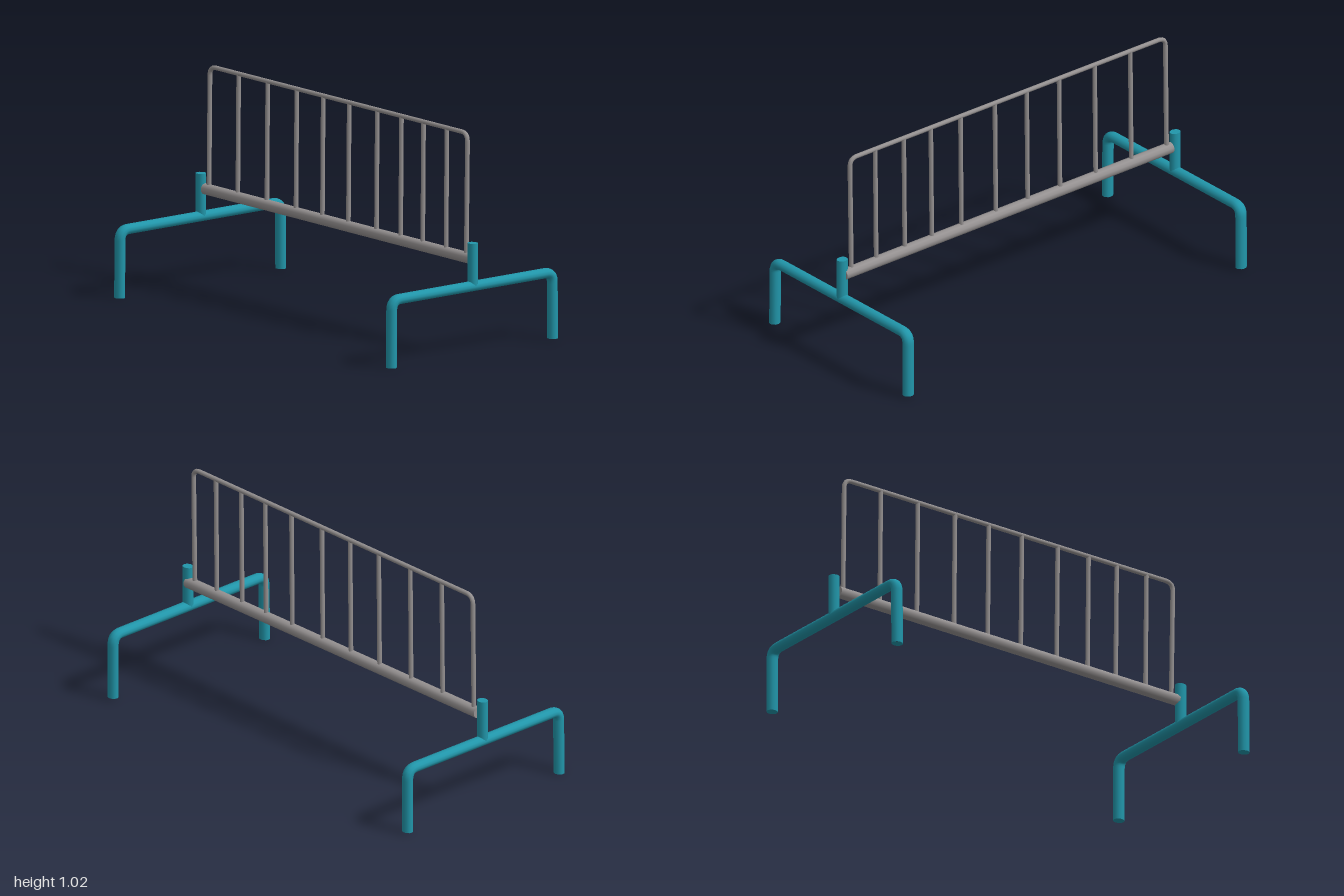
import * as THREE from 'three';

const V = (x, y, z) => new THREE.Vector3(x, y, z);

// Polyline with rounded corners
function bentPath(points, r) {
  const path = new THREE.CurvePath();
  let from = points[0];
  for (let i = 1; i < points.length; i++) {
    const p = points[i], next = points[i + 1];
    if (!next) {
      path.add(new THREE.LineCurve3(from, p));
      break;
    }
    const a = p.clone().add(from.clone().sub(p).setLength(r));
    const b = p.clone().add(next.clone().sub(p).setLength(r));
    path.add(new THREE.LineCurve3(from, a));
    path.add(new THREE.QuadraticBezierCurve3(a, p, b));
    from = b;
  }
  return path;
}

export function createModel() {
  const model = new THREE.Group();
  const teal = new THREE.MeshStandardMaterial({ color: 0x2196aa });
  teal.name = 'teal paint';
  const steel = new THREE.MeshStandardMaterial({ color: 0x959191 });
  steel.name = 'grey steel';

  function add(parent, name, geometry, material) {
    const mesh = new THREE.Mesh(geometry, material);
    mesh.name = name;
    parent.add(mesh);
    return mesh;
  }

  // Straight capped rod between two points
  function rod(parent, name, a, b, radius, material, sides = 10) {
    const dir = b.clone().sub(a);
    const mesh = add(parent, name, new THREE.CylinderGeometry(radius, radius, dir.length(), sides), material);
    mesh.position.copy(a).add(b).multiplyScalar(0.5);
    mesh.quaternion.setFromUnitVectors(V(0, 1, 0), dir.normalize());
    return mesh;
  }

  // Two end stands: bent leg frame, foot caps and upright post
  for (const side of [1, -1]) {
    const stand = new THREE.Group();
    stand.name = side > 0 ? 'frontStand' : 'backStand';
    stand.position.z = 0.972 * side;
    stand.scale.z = 1.15;
    const feet = [V(-0.47, 0, 0.002), V(0.467, 0.01, -0.002)];
    const frame = bentPath([feet[0], V(-0.467, 0.309, 0.002), V(0.466, 0.314, -0.002), feet[1]], 0.045);
    add(stand, 'legFrame', new THREE.TubeGeometry(frame, 120, 0.0238, 12), teal);
    for (const foot of feet) {
      const cap = add(stand, 'footCap', new THREE.CircleGeometry(0.0238, 12), teal);
      cap.rotation.x = Math.PI / 2;
      cap.position.copy(foot);
    }
    rod(stand, 'post', V(0.003, 0.315, 0), V(0.003, 0.51, 0), 0.023, teal, 12);
    model.add(stand);
  }

  // Barrier panel: lower rail, bent hoop and vertical bars
  const panel = new THREE.Group();
  panel.name = 'barrierPanel';
  rod(panel, 'lowerRail', V(0.009, 0.434, 0.968), V(0.006, 0.441, -0.945), 0.0265, steel);
  const x = 0.007;
  const hoop = bentPath([V(x, 0.44, 0.922), V(x, 1.008, 0.931), V(x, 1.01, -0.912), V(x, 0.44, -0.919)], 0.04);
  add(panel, 'hoop', new THREE.TubeGeometry(hoop, 200, 0.0108, 8), steel);
  const barZ = [0.78, 0.613, 0.455, 0.282, 0.081, -0.105, -0.294, -0.502, -0.71];
  for (const z of barZ) {
    rod(panel, 'bar', V(x, 0.44, z - 0.003), V(x, 1.008, z + 0.003), 0.0105, steel, 8);
  }
  model.add(panel);

  return model;
}
